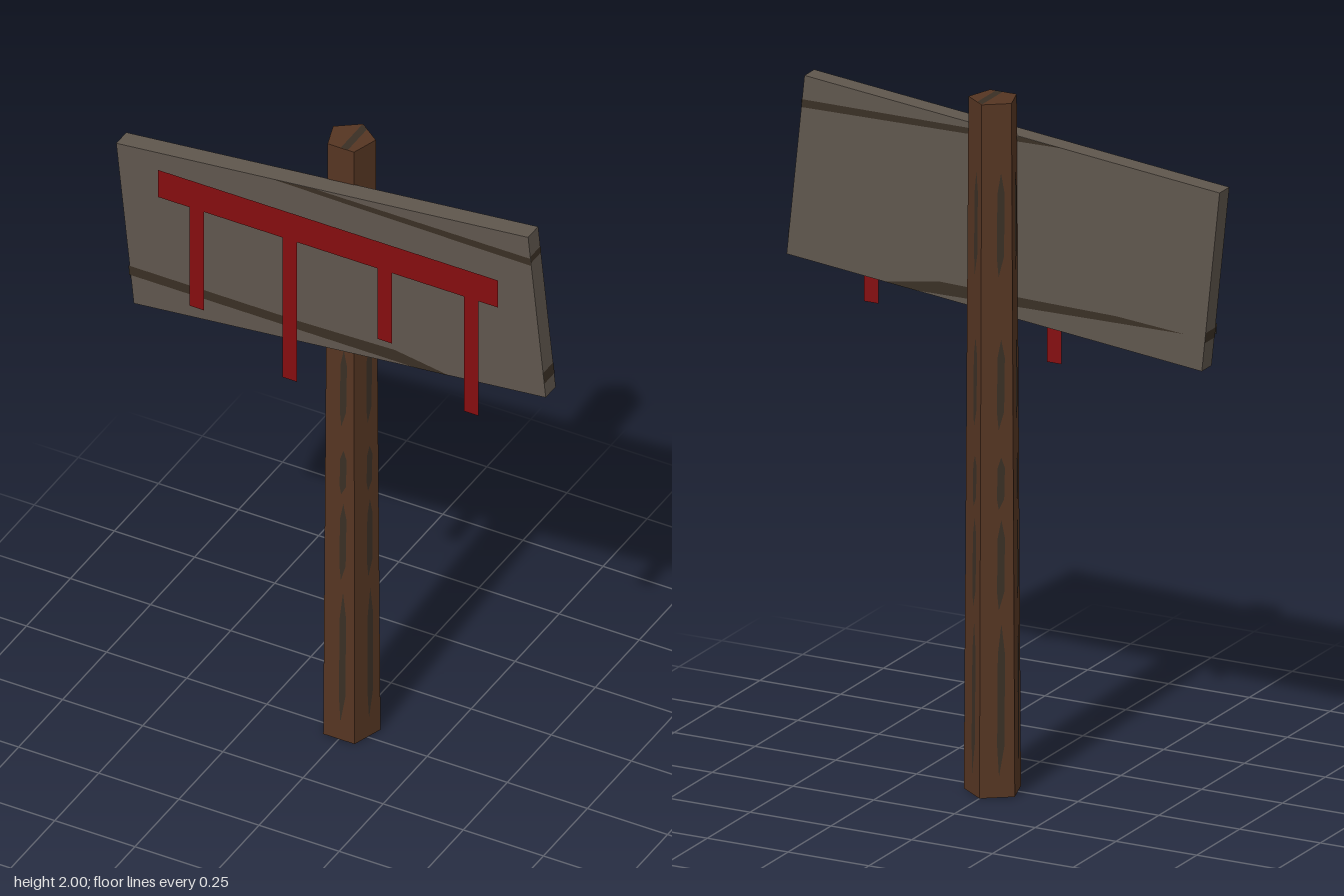
import * as THREE from 'three';

const mat = (name, color, side = THREE.FrontSide) => {
  const m = new THREE.MeshStandardMaterial({ color, side, flatShading: true });
  m.name = name;
  return m;
};

export function createModel() {
  const model = new THREE.Group();
  model.name = 'signpost';
  const postWood = mat('post brown', 0x553522);
  const boardWood = mat('board grey brown', 0x5f564d);
  const grain = mat('dark grain', 0x392f24, THREE.DoubleSide);
  const paint = mat('red paint', 0x850d0f, THREE.DoubleSide);

  const add = (parent, name, geometry, material, x = 0, y = 0, z = 0) => {
    const mesh = new THREE.Mesh(geometry, material);
    mesh.name = name;
    mesh.position.set(x, y, z);
    parent.add(mesh);
    return mesh;
  };
  const flat = (points) =>
    new THREE.ShapeGeometry(new THREE.Shape(points.map(([x, y]) => new THREE.Vector2(x, y))));

  // Five-sided tapering post, flat face to the front
  const post = new THREE.Group();
  post.name = 'post';
  post.position.set(0, 0, -0.021);
  model.add(post);
  const shaft = new THREE.CylinderGeometry(0.07, 0.083, 2, 5, 1, false, Math.PI);
  add(post, 'postShaft', shaft, postWood, 0, 1, 0);

  // Broken vertical grain streaks on every face of the post
  const streaks = [[0.06, 0.5], [0.54, 0.8], [0.83, 0.98], [1.06, 1.32], [1.5, 1.8]];
  for (let i = 0; i < 5; i++) {
    const face = new THREE.Group();
    face.name = 'postGrain';
    face.rotation.set(-0.0053, (i * Math.PI * 2) / 5, 0, 'YXZ');
    face.position.y = 1;
    post.add(face);
    for (const [y0, y1] of streaks) {
      const a = y0 - 1, b = y1 - 1, d = (b - a) * 0.2;
      add(face, 'grainStreak',
        flat([[0.005, a], [0.02, a + d], [0.022, b - d], [0.012, b], [0.002, b - d], [0, a + d]]),
        grain, 0, 0, 0.0628);
    }
  }
  const capGrain = add(post, 'capGrain', flat([[0, -0.055], [0.022, -0.055], [0.022, 0.052], [0, 0.066]]),
    grain, 0, 2.0008, 0);
  capGrain.rotation.x = -Math.PI / 2;

  // Tilted board fixed to the front of the post
  const W = 1.292, H = 0.527, D = 0.057, boardZ = 0.0625;
  const board = new THREE.Group();
  board.name = 'board';
  board.position.set(0, 1.62, boardZ);
  board.rotation.z = 0.1047;
  model.add(board);
  add(board, 'boardPlank', new THREE.BoxGeometry(W, H, D), boardWood);
  for (const [side, y, h] of [[1, -0.2, 0.035], [-1, -0.165, 0.03], [1, 0.19, 0.02]]) {
    const end = add(board, 'boardEndGrain', new THREE.PlaneGeometry(D, h), grain, side * (W / 2 + 0.001), y, 0);
    end.rotation.y = Math.PI / 2;
  }

  // Horizontal grain bands, front and back
  const upper = [[0.6236, 1.857], [0.6215, 1.88], [-0.05, 1.879], [-0.18, 1.866], [0.1, 1.862]];
  const lowerFront = [[-0.629, 1.384], [0.27, 1.384], [0.37, 1.394], [0.2, 1.421], [-0.1, 1.413], [-0.631, 1.414]];
  const lowerBack = [[-0.56, 1.39], [0.27, 1.384], [0.37, 1.394], [0.2, 1.421], [-0.1, 1.413], [-0.35, 1.408]];
  const front = boardZ + D / 2 + 0.001, back = boardZ - D / 2 - 0.001;
  add(model, 'upperGrainFront', flat(upper), grain, 0, 0, front);
  add(model, 'upperGrainBack', flat(upper), grain, 0, 0, back);
  add(model, 'lowerGrainFront', flat(lowerFront), grain, 0, 0, front);
  add(model, 'lowerGrainBack', flat(lowerBack), grain, 0, 0, back);

  // Red painted bar with drips, floating just ahead of the board
  const paintZ = 0.104;
  add(model, 'paintBar', new THREE.PlaneGeometry(1.06, 0.092), paint, -0.002, 1.735, paintZ);
  for (const [x, bottom] of [[-0.412, 1.355], [-0.121, 1.215], [0.175, 1.45], [0.445, 1.3]]) {
    const h = 1.689 - bottom;
    add(model, 'paintDrip', new THREE.PlaneGeometry(0.045, h), paint, x, bottom + h / 2, paintZ);
  }
  return model;
}
